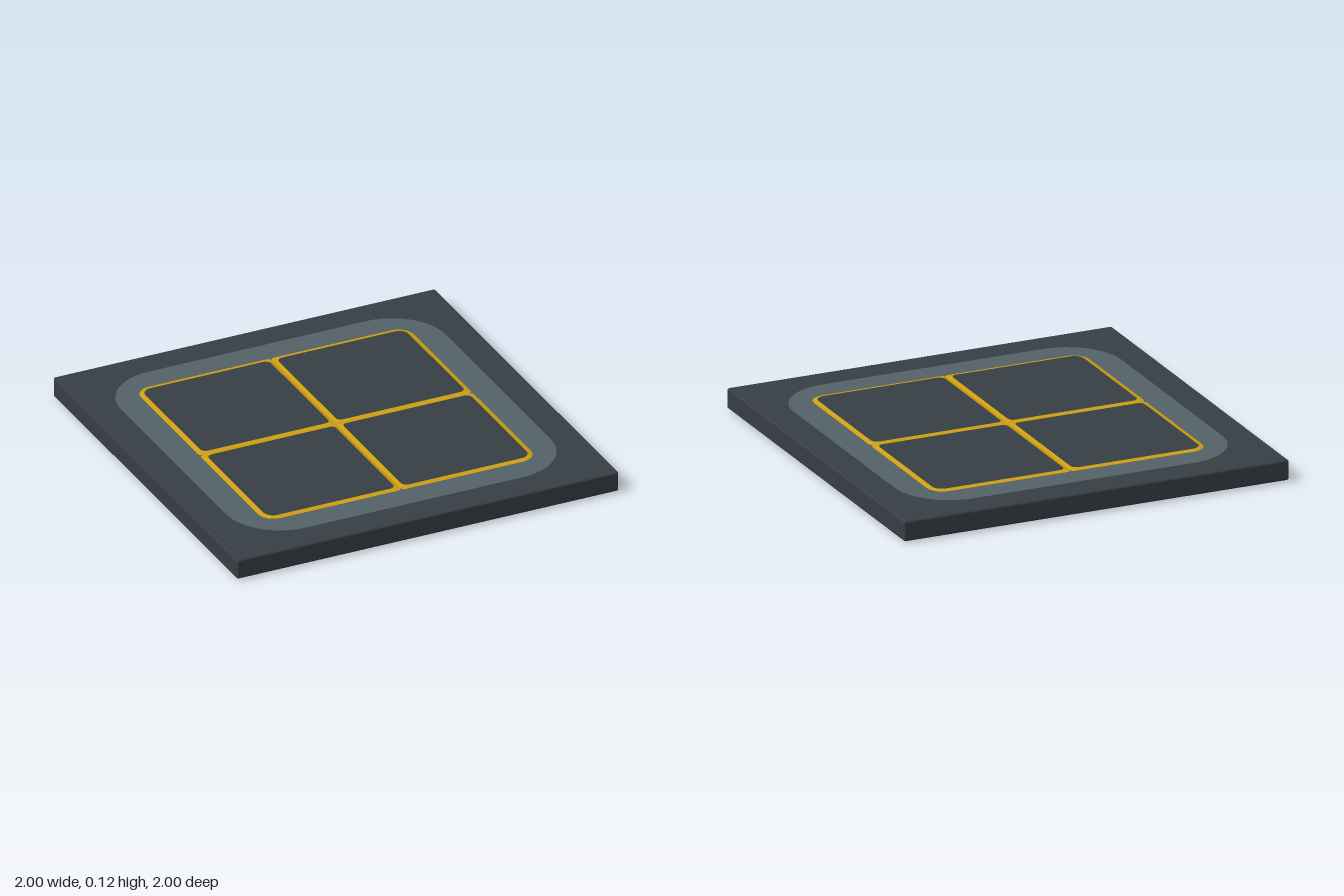
import * as THREE from 'three';
import { RoundedBoxGeometry } from 'three/addons/geometries/RoundedBoxGeometry.js';

const MID = 0.0585;      // mid height of the tile
const FACE = 0.051;      // slab face above mid
const TOP = 0.0585;      // pad face above mid

// Counter-clockwise square outline from lo to hi, one radius per corner
function outline(lo, hi, radii, steps = 6) {
  const corners = [[lo, lo, 1, 1], [hi, lo, -1, 1], [hi, hi, -1, -1], [lo, hi, 1, -1]];
  const pts = [];
  corners.forEach(([x, y, sx, sy], c) => {
    const r = radii[c];
    for (let i = 0; i <= steps; i++) {
      const a = Math.PI + (c + i / steps) * Math.PI / 2;
      pts.push(new THREE.Vector2(x + sx * r + r * Math.cos(a), y + sy * r + r * Math.sin(a)));
    }
  });
  return pts;
}

// Flat plate facing up at the given height
function plate(pts, y) {
  return new THREE.ShapeGeometry(new THREE.Shape(pts)).rotateX(-Math.PI / 2).translate(0, y, 0);
}

// Sloping band between a low outer outline and a high inner one
function slope(outer, inner, y0, y1) {
  const pos = [], index = [], n = outer.length;
  outer.forEach((p, i) => {
    const q = inner[i], j = (i + 1) % n;
    pos.push(p.x, y0, -p.y, q.x, y1, -q.y);
    index.push(2 * i, 2 * j, 2 * i + 1, 2 * j, 2 * j + 1, 2 * i + 1);
  });
  const geo = new THREE.BufferGeometry();
  geo.setAttribute('position', new THREE.Float32BufferAttribute(pos, 3));
  geo.setIndex(index);
  geo.computeVertexNormals();
  return geo;
}

export function createModel() {
  const dark = new THREE.MeshStandardMaterial({ name: 'charcoal', color: 0x373e45 });
  const grey = new THREE.MeshStandardMaterial({ name: 'slate', color: 0x546369 });
  const gold = new THREE.MeshStandardMaterial({ name: 'gold', color: 0xcfa010 });

  const model = new THREE.Group();
  model.name = 'floorTile';
  const add = (parent, name, geo, mat) => {
    const mesh = new THREE.Mesh(geo, mat);
    mesh.name = name;
    parent.add(mesh);
    return mesh;
  };

  // Slab with softened edges
  add(model, 'slab', new RoundedBoxGeometry(2, FACE * 2, 2, 2, 0.01), dark).position.y = MID;

  const panelGeo = plate(outline(-0.85, 0.85, [0.28, 0.28, 0.28, 0.28], 12), FACE + 0.001);
  const outer = outline(0, 0.715, [0, 0.02, 0.08, 0.02]);
  const inner = outline(0.02, 0.69, [0.025, 0.03, 0.05, 0.03]);
  const trimGeo = slope(outer, inner, FACE + 0.002, TOP);
  const padGeo = plate(inner, TOP);

  // The same inlay on the upper and lower faces
  ['upperInlay', 'lowerInlay'].forEach((name, side) => {
    const inlay = new THREE.Group();
    inlay.name = name;
    inlay.position.y = MID;
    inlay.rotation.x = side * Math.PI;
    add(inlay, 'roundedPanel', panelGeo, grey);
    // Four raised pads, each with a sloping gold trim
    for (let k = 0; k < 4; k++) {
      const pad = new THREE.Group();
      pad.name = 'pad' + (k + 1);
      pad.rotation.y = k * Math.PI / 2;
      add(pad, 'padTrim', trimGeo, gold);
      add(pad, 'padFace', padGeo, dark);
      inlay.add(pad);
    }
    model.add(inlay);
  });
  return model;
}
